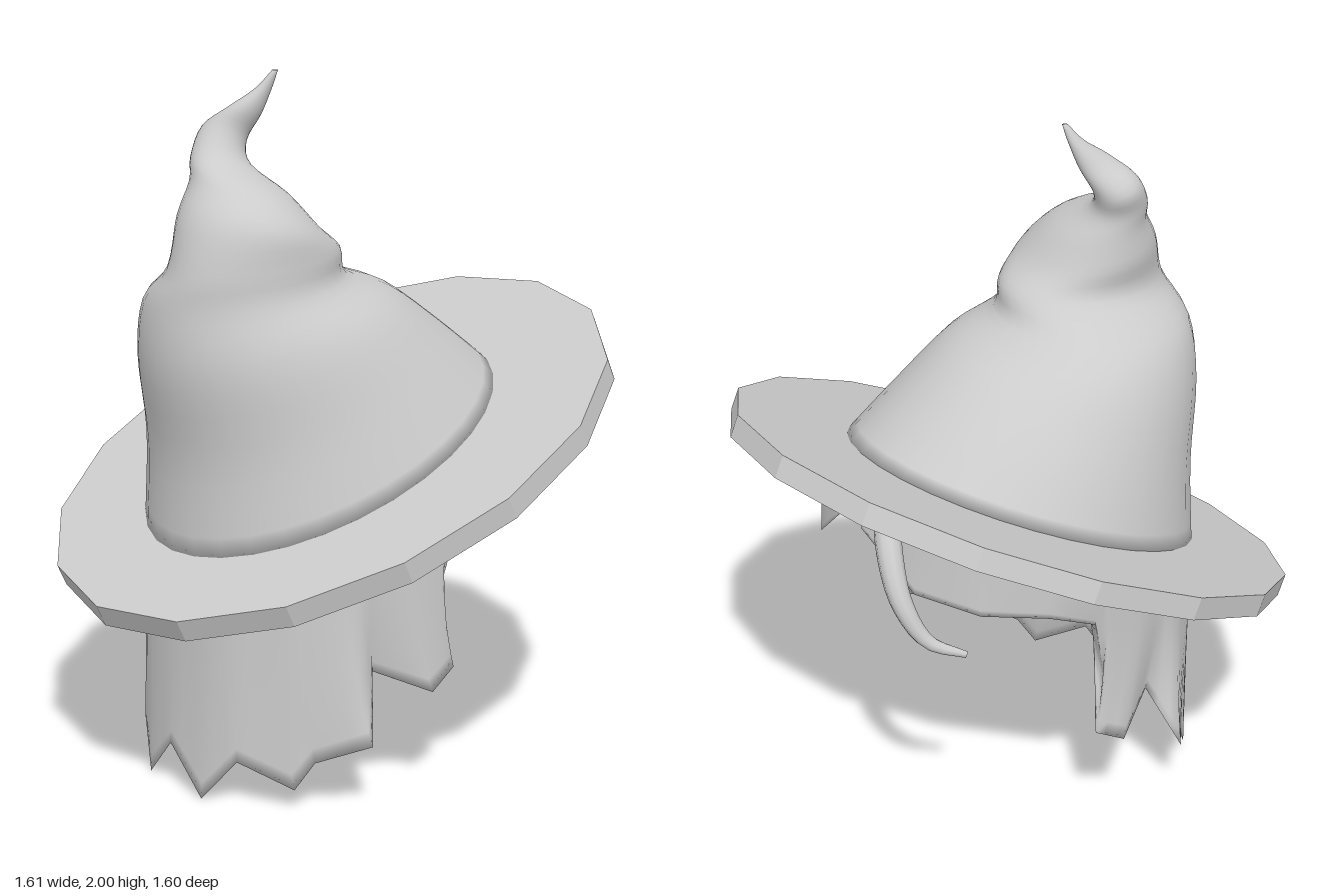
import * as THREE from 'three';

const V = (x, y, z) => new THREE.Vector3(x, y, z);
const lerp = THREE.MathUtils.lerp;
const grey = () => new THREE.MeshStandardMaterial({ color: 0xcccccc });

// Smooth skin over closed cross-sections; each end is closed at its centre.
function loft(name, sections) {
  const mid = s => {
    const c = s.reduce((a, p) => a.add(p), V(0, 0, 0)).divideScalar(s.length);
    return s.map(() => c);
  };
  const rows = [mid(sections[0]), ...sections, mid(sections[sections.length - 1])];
  const n = rows[0].length, index = [];
  for (let i = 0; i < rows.length - 1; i++) {
    for (let j = 0; j < n; j++) {
      const k = (j + 1) % n;
      const a = i * n + j, b = i * n + k, c = a + n, d = b + n;
      index.push(a, c, d, a, d, b);
    }
  }
  const geo = new THREE.BufferGeometry().setFromPoints(rows.flat());
  geo.setIndex(index);
  geo.computeVertexNormals();
  const mesh = new THREE.Mesh(geo, grey());
  mesh.name = name;
  return mesh;
}

const smooth = pts => new THREE.CatmullRomCurve3(pts, false, 'catmullrom', 0.5);

// Crooked crown: centre x, y, z, then half width, half depth, rise towards the front
function crown() {
  const rings = [
    [0, 0.915, 0.04, 0.49, 0.51, -0.235],
    [-0.01, 1.115, 0.12, 0.42, 0.425, -0.165],
    [-0.01, 1.295, 0.22, 0.35, 0.365, -0.095],
    [-0.01, 1.41, 0.29, 0.268, 0.29, -0.035],
    [0.045, 1.5, 0.297, 0.2, 0.255, -0.02],
    [0.035, 1.6, 0.31, 0.195, 0.195, 0.02],
    [-0.01, 1.69, 0.31, 0.145, 0.13, 0.02],
    [-0.08, 1.755, 0.32, 0.08, 0.085, 0.015],
    [-0.105, 1.825, 0.29, 0.065, 0.06, 0.025],
    [-0.06, 1.89, 0.25, 0.04, 0.045, 0.015],
    [-0.03, 1.95, 0.21, 0.02, 0.025, 0],
    [-0.01, 2, 0.185, 0.008, 0.008, 0],
  ];
  const centre = smooth(rings.map(r => V(r[0], r[1], r[2])));
  const size = smooth(rings.map(r => V(r[3], r[4], r[5])));
  const sections = [];
  for (let i = 0; i <= 44; i++) {
    const c = centre.getPoint(i / 44), s = size.getPoint(i / 44), ring = [];
    for (let j = 0; j < 32; j++) {
      const a = (j / 32) * Math.PI * 2, si = Math.sin(a);
      ring.push(V(c.x + s.x * Math.cos(a), c.y + s.z * si, c.z + s.y * si));
    }
    sections.push(ring);
  }
  return loft('crown', sections);
}

// Beard and side hair: one curtain from the front point round to the back gap.
// Each column: top x, z, then bottom x, z, y
function beard() {
  const half = [
    [0, 0.55, 0, 0.565, 0.13],
    [0.13, 0.535, 0.13, 0.55, 0],
    [0.22, 0.5, 0.235, 0.5, 0.13],
    [0.31, 0.43, 0.355, 0.39, 0.06],
    [0.36, 0.38, 0.39, 0.345, 0.14],
    [0.42, 0.28, 0.51, 0.235, 0.2],
    [0.45, 0.2, 0.42, 0.17, 0.38],
    [0.47, 0.1, 0.5, 0.02, 0.31],
    [0.48, 0, 0.48, -0.07, 0.36],
    [0.485, -0.05, 0.45, -0.02, 0.52],
    [0.485, -0.1, 0.47, -0.07, 0.72],
    [0.45, -0.22, 0.45, -0.22, 0.79],
    [0.36, -0.38, 0.36, -0.39, 0.82],
    [0.22, -0.5, 0.22, -0.51, 0.87],
    [0.05, -0.55, 0.05, -0.56, 1.02],
  ];
  const mirrored = half.slice(1).map(([a, b, c, d, e]) => [-a, b, -c, d, e]);
  const cols = [...half.slice().reverse(), ...mirrored];
  const last = cols.length - 1, sub = 3;
  const top = smooth(cols.map(c => V(c[0], 0.91 - 0.458 * c[1], c[1])));
  const down = [0, 0.2, 0.4, 0.6, 0.8, 0.93];
  const sections = [];
  for (let i = 0; i <= last * sub; i++) {
    const k = Math.min(Math.floor(i / sub), last - 1), f = i / sub - k;
    const [bx, bz, by] = [2, 3, 4].map(m => lerp(cols[k][m], cols[k + 1][m], f));
    const t0 = top.getPoint(i / (last * sub));
    const at = (t, thick) => {
      const p = V(lerp(t0.x, bx, t * t), lerp(t0.y, by, t), lerp(t0.z, bz, t * t));
      const r = Math.hypot(p.x, p.z), w = 1 - (thick * (1 - t ** 4)) / r;
      return V(p.x * w, p.y, p.z * w);
    };
    sections.push([
      ...down.map(t => at(t, 0)),
      at(1, 0),
      ...down.slice().reverse().map(t => at(t, 0.07)),
    ]);
  }
  return loft('beard', sections);
}

// Tapering lock of hair along a path
function strand(name, points, radius) {
  const path = smooth(points), n = 16;
  const { normals, binormals } = path.computeFrenetFrames(n, false);
  const sections = [];
  for (let i = 0; i <= n; i++) {
    const p = path.getPointAt(i / n), r = radius * (1 - 0.75 * (i / n) ** 2), ring = [];
    for (let j = 0; j < 10; j++) {
      const a = (j / 10) * Math.PI * 2;
      ring.push(p.clone()
        .addScaledVector(normals[i], r * Math.cos(a))
        .addScaledVector(binormals[i], -r * Math.sin(a)));
    }
    sections.push(ring);
  }
  return loft(name, sections);
}

export function createModel() {
  const model = new THREE.Group();
  model.name = 'hatWithBeard';

  // Tilted sixteen-sided brim
  const brimMaterial = grey();
  brimMaterial.flatShading = true;
  const brim = new THREE.Mesh(new THREE.CylinderGeometry(1, 1, 0.066, 16), brimMaterial);
  brim.name = 'brim';
  brim.scale.set(0.805, 1, 0.863);
  brim.rotation.x = 0.43;
  brim.position.y = 0.91;

  model.add(brim, crown(), beard());

  // Loose lock hanging at the back
  model.add(strand('backLock', [
    V(-0.13, 1.12, -0.53), V(-0.2, 1.02, -0.575), V(-0.27, 0.9, -0.59),
    V(-0.33, 0.79, -0.55), V(-0.4, 0.75, -0.47),
  ], 0.038));
  return model;
}
